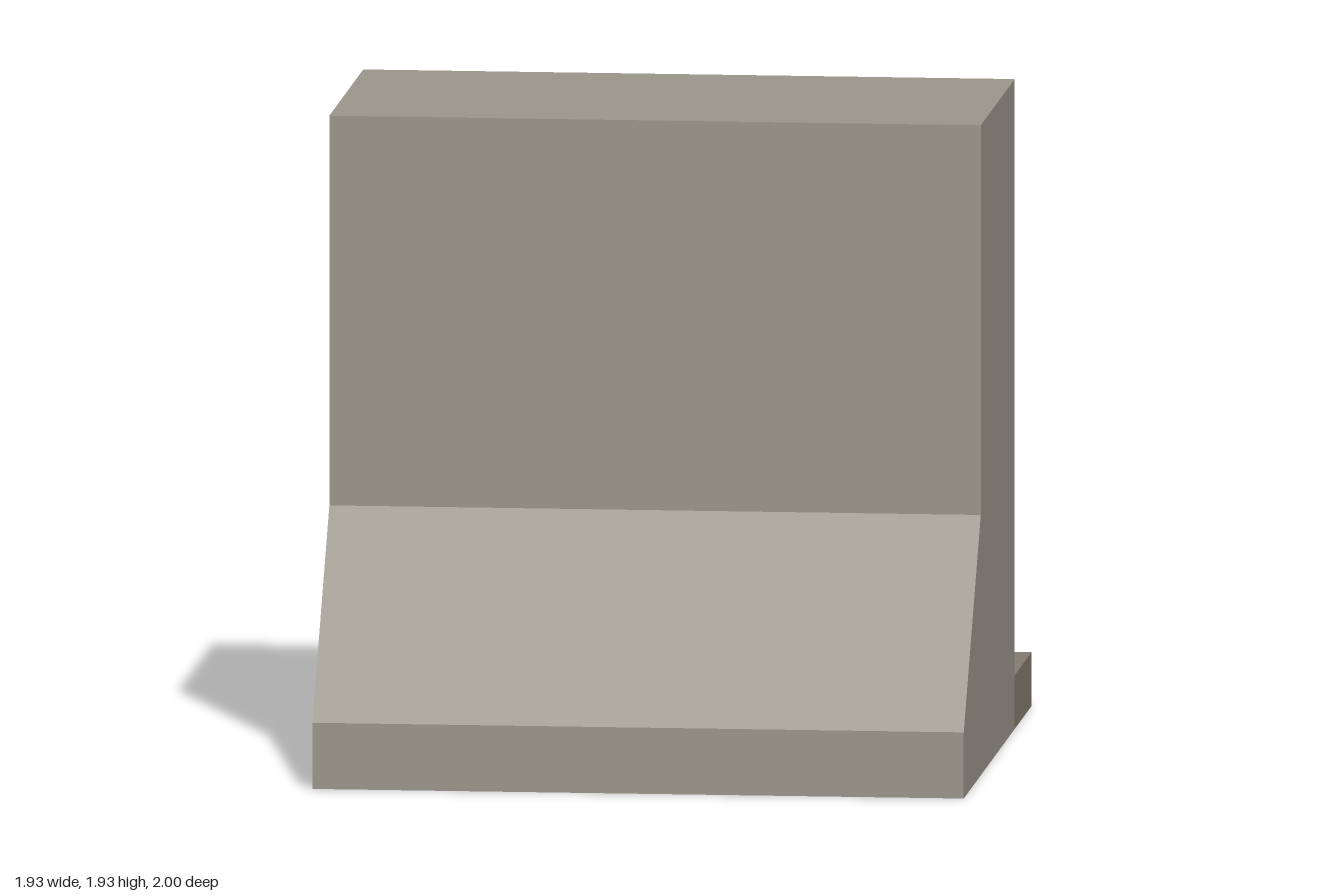
import * as THREE from 'three';

const material = (color) => new THREE.MeshStandardMaterial({ color, flatShading: true });
const concrete = material(0x9c968c);
const slabStone = material(0x847b6e);
const wood = material(0x7d5632);
const lidWood = material(0x80582f);
const iron = material(0x3a3a3e);

function box(name, w, h, d, x, y, z, mat) {
  const mesh = new THREE.Mesh(new THREE.BoxGeometry(w, h, d), mat);
  mesh.name = name;
  mesh.position.set(x, y + h / 2, z); // y is the underside
  return mesh;
}

// Crate with an overhanging lid and two straps running front to back
function crate(name, x, y, z, turn) {
  const group = new THREE.Group();
  group.name = name;
  group.add(box('crateBody', 0.425, 0.385, 0.425, 0, 0, 0, wood));
  group.add(box('crateLid', 0.468, 0.048, 0.468, 0, 0.38, 0, lidWood));
  for (const side of [-1, 1]) {
    group.add(box('crateStrap', 0.045, 0.426, 0.475, side * 0.138, 0.008, 0, iron));
  }
  group.position.set(x, y, z);
  group.rotation.y = turn;
  return group;
}

export function createModel() {
  const model = new THREE.Group();
  model.name = 'barrierWithCrates';

  // Wall profile, drawn with z to the right, extruded across the width
  const width = 1.93;
  const profile = new THREE.Shape([
    [-0.45, 0], [1, 0], [1, 0.197], [0.515, 0.775], [0.515, 1.935], [-0.45, 1.935],
  ].map(([z, y]) => new THREE.Vector2(z, y)));
  const wallGeometry = new THREE.ExtrudeGeometry(profile, { depth: width, bevelEnabled: false });
  wallGeometry.translate(0, 0, -width / 2).rotateY(-Math.PI / 2);
  const wall = new THREE.Mesh(wallGeometry, concrete);
  wall.name = 'wall';
  model.add(wall);

  // Low step behind the wall
  model.add(box('rearStep', width, 0.16, 0.485, 0, 0, -0.6925, slabStone));

  // Two stacked crates and one beside them
  model.add(crate('lowerCrate', 0.352, 0.16, -0.702, 0.086));
  model.add(crate('upperCrate', 0.352, 0.59, -0.7, 0.345));
  model.add(crate('sideCrate', -0.227, 0.16, -0.703, -0.13));

  return model;
}
